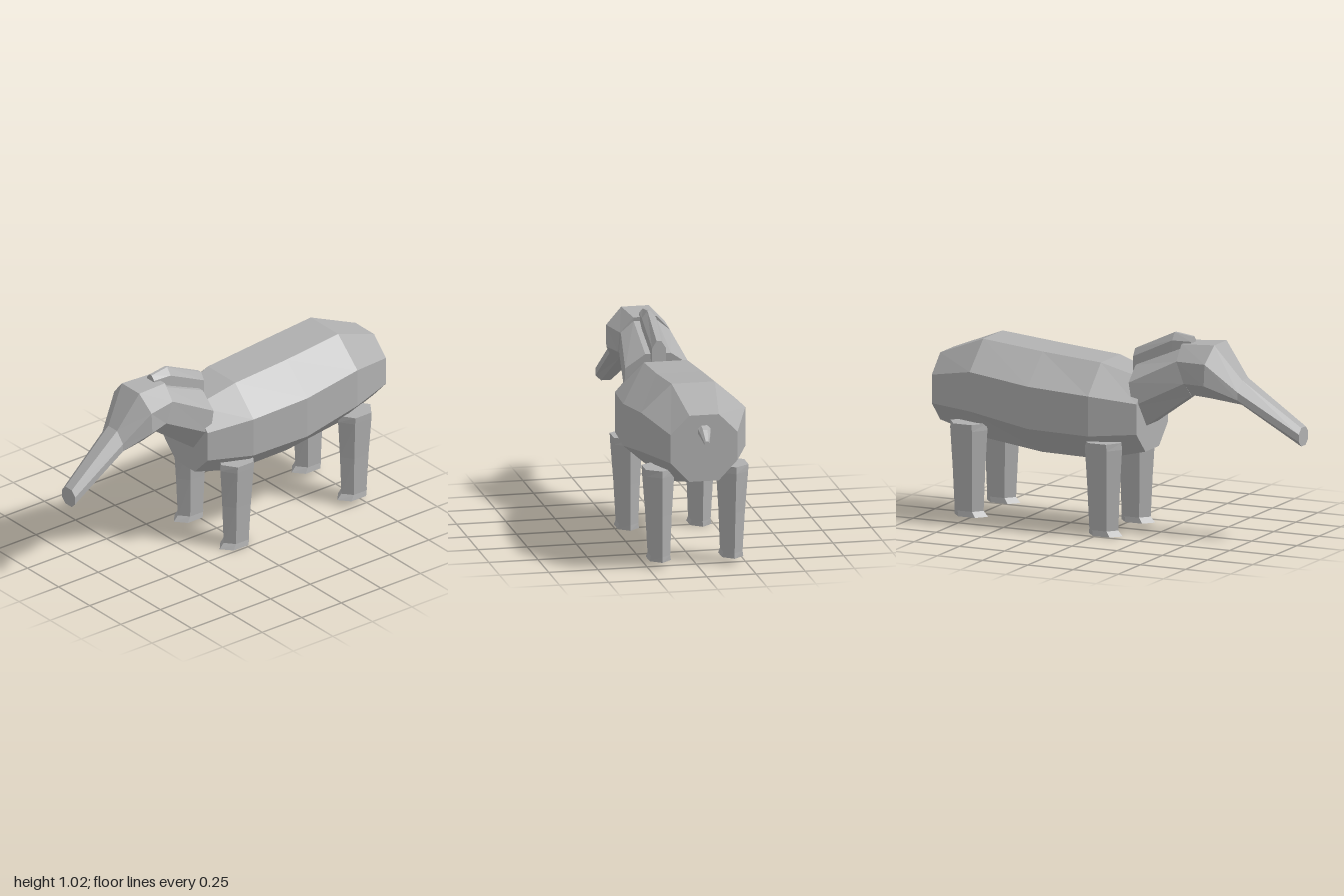
import * as THREE from 'three';

const coat = new THREE.MeshStandardMaterial({ color: 0xb0b0b0, flatShading: true });
coat.name = 'greyCoat';

// Octagonal cross-section; ys and zs run from bottom to top
function oct(cx, z, ys, inner, outer) {
  const zs = Array.isArray(z) ? z : [z, z, z, z];
  const w = [inner, outer, outer, inner];
  const ring = [0, 1, 2, 3].map(i => [cx + w[i], ys[i], zs[i]]);
  for (let i = 3; i >= 0; i--) ring.push([cx - w[i], ys[i], zs[i]]);
  return ring;
}

// Six-sided horizontal cross-section with a corner at the front
function hex(cx, y, cz, rx, rz) {
  return Array.from({ length: 6 }, (_, k) => {
    const a = Math.PI / 6 + k * Math.PI / 3;
    return [cx + rx / 0.866 * Math.cos(a), y, cz - rz * Math.sin(a)];
  });
}

// Skins a row of cross-sections and closes both ends
function loft(name, rings) {
  const n = rings[0].length, idx = [], last = (rings.length - 1) * n;
  for (let i = 0; i < rings.length - 1; i++) {
    for (let j = 0; j < n; j++) {
      const a = i * n + j, b = i * n + (j + 1) % n;
      idx.push(a, b, b + n, a, b + n, a + n);
    }
  }
  for (let j = 1; j < n - 1; j++) {
    idx.push(0, j + 1, j, last, last + j, last + j + 1);
  }
  const g = new THREE.BufferGeometry();
  g.setAttribute('position', new THREE.Float32BufferAttribute(rings.flat(2), 3));
  g.setIndex(idx);
  const flat = g.toNonIndexed();
  flat.computeVertexNormals();
  const mesh = new THREE.Mesh(flat, coat);
  mesh.name = name;
  return mesh;
}

// Tapered leg with a slightly flared hoof
function leg(name, side, z, top, foot) {
  const x = side * 0.188, h = top - foot;
  return loft(name, [
    hex(side * 0.184, foot, z + 0.012, 0.054, 0.093),
    hex(side * 0.184, foot + 0.028, z, 0.049, 0.08),
    hex(side * 0.186, foot + h * 0.5, z, 0.058, 0.09),
    hex(x, top - 0.035, z, 0.071, 0.103),
    hex(x, top, z, 0.073, 0.1),
  ]);
}

export function createModel() {
  const model = new THREE.Group();
  model.name = 'grazingAnimal';

  model.add(loft('body', [
    oct(0, -0.935, [0.475, 0.575, 0.72, 0.815], 0.075, 0.17),
    oct(0, -0.68, [0.415, 0.575, 0.775, 0.915], 0.11, 0.265),
    oct(0, -0.35, [0.372, 0.52, 0.735, 0.882], 0.115, 0.284),
    oct(0, -0.03, [0.365, 0.507, 0.71, 0.855], 0.11, 0.257),
    oct(0, 0.2, [0.417, 0.522, 0.677, 0.785], 0.077, 0.18),
  ]));

  // Neck rises forward from the shoulders
  model.add(loft('neck', [
    oct(0, [0.19, 0.17, 0.15, 0.14], [0.54, 0.66, 0.78, 0.85], 0.065, 0.165),
    oct(0.01, [0.44, 0.43, 0.39, 0.39], [0.72, 0.79, 0.9, 0.955], 0.06, 0.125),
  ]));

  // Head turns slightly to its left and tapers to a long muzzle
  model.add(loft('head', [
    oct(0.012, [0.44, 0.43, 0.39, 0.385], [0.722, 0.79, 0.9, 0.975], 0.06, 0.128),
    oct(0.025, [0.54, 0.545, 0.55, 0.565], [0.715, 0.79, 0.9, 0.985], 0.07, 0.15),
    oct(0.043, 0.692, [0.685, 0.715, 0.755, 0.81], 0.035, 0.083),
    oct(0.078, 0.998, [0.493, 0.52, 0.558, 0.587], 0.025, 0.053),
  ]));

  // Upright mane along the neck
  model.add(loft('mane', [
    oct(0.002, 0.11, [0.79, 0.81, 0.885, 0.922], 0.012, 0.035),
    oct(0.006, 0.325, [0.9, 0.92, 0.985, 1.022], 0.008, 0.036),
    oct(0.008, 0.425, [0.955, 0.965, 0.985, 1.008], 0.008, 0.028),
  ]));

  // Short drooping tail
  model.add(loft('tail', [
    oct(0, -1, [0.672, 0.678, 0.688, 0.696], 0.006, 0.012),
    oct(0, -0.96, [0.695, 0.71, 0.73, 0.745], 0.012, 0.026),
    oct(0, -0.92, [0.715, 0.73, 0.755, 0.772], 0.016, 0.036),
  ]));

  for (const [side, label] of [[1, 'left'], [-1, 'right']]) {
    model.add(leg(label + 'FrontLeg', side, 0.022, 0.475, 0));
    model.add(leg(label + 'HindLeg', side, -0.722, 0.505, 0.03));
  }
  return model;
}
